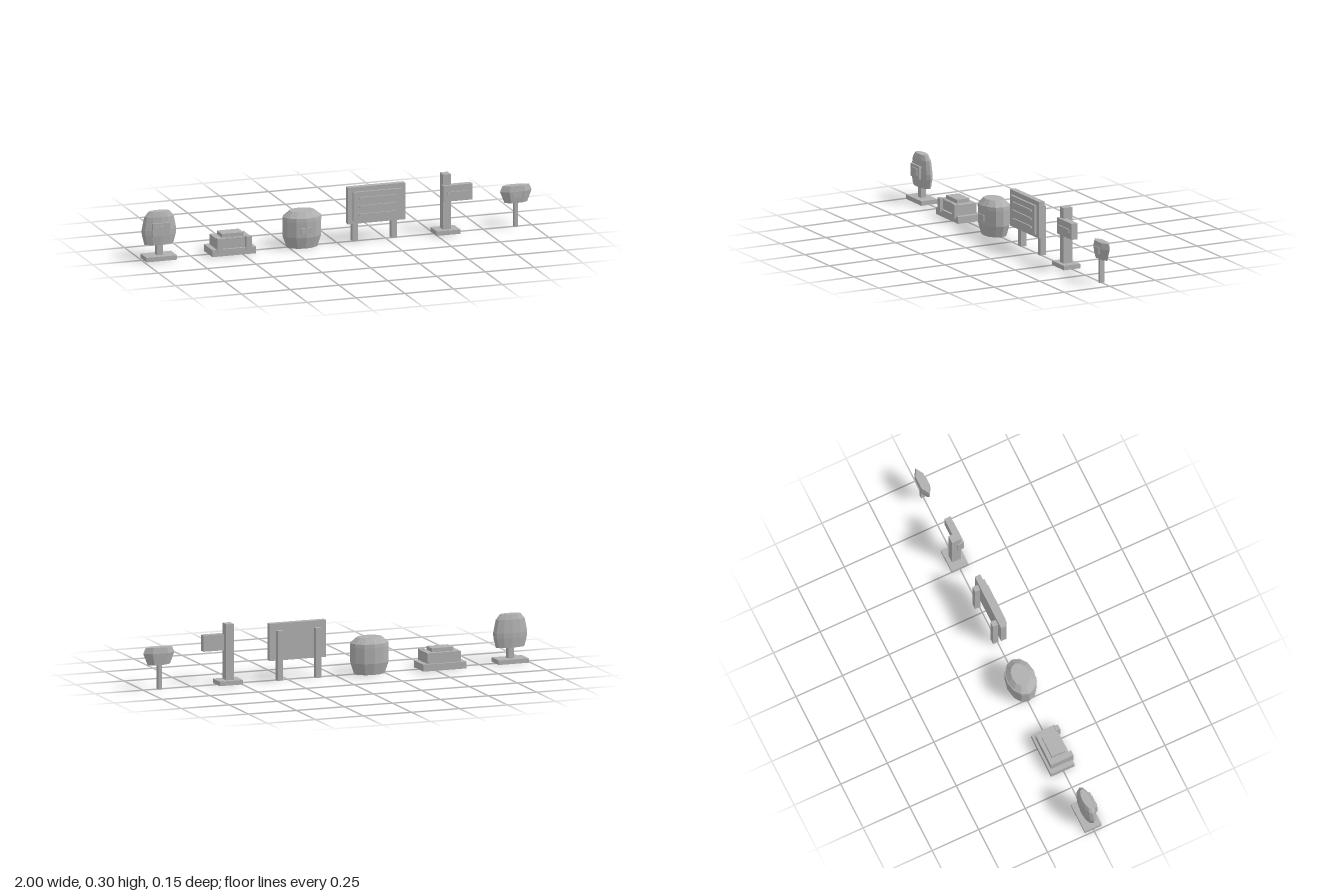
import * as THREE from 'three';

const stone = new THREE.MeshStandardMaterial({ color: 0xb0b0b0, flatShading: true });
stone.name = 'plain grey';

// Box given by its limits on each axis
function box(parent, name, [x0, x1], [y0, y1], [z0, z1]) {
  const mesh = new THREE.Mesh(new THREE.BoxGeometry(x1 - x0, y1 - y0, z1 - z0), stone);
  mesh.position.set((x0 + x1) / 2, (y0 + y1) / 2, (z0 + z1) / 2);
  mesh.name = name;
  parent.add(mesh);
  return mesh;
}

// Faceted elliptical solid; profile rows are [radius factor, height]
function faceted(parent, name, x, rx, rz, sides, profile, turn = Math.PI / 2) {
  const points = [[0, profile[0][1]], ...profile, [0, profile[profile.length - 1][1]]];
  const geo = new THREE.LatheGeometry(points.map(([r, y]) => new THREE.Vector2(r, y)), sides);
  geo.rotateY(turn);
  geo.scale(rx, 1, rz);
  const flat = geo.toNonIndexed();
  flat.computeVertexNormals();
  const mesh = new THREE.Mesh(flat, stone);
  mesh.position.x = x;
  mesh.name = name;
  parent.add(mesh);
  return mesh;
}

function addGroup(parent, name) {
  const g = new THREE.Group();
  g.name = name;
  parent.add(g);
  return g;
}

export function createModel() {
  const model = new THREE.Group();
  model.name = 'markerSet';

  // Rounded marker on a pedestal
  const marker = addGroup(model, 'roundedMarker');
  box(marker, 'markerBase', [-0.99, -0.833], [0, 0.022], [-0.045, 0.045]);
  box(marker, 'markerStem', [-0.926, -0.896], [0.02, 0.085], [-0.014, 0.014]);
  faceted(marker, 'markerBody', -0.911, 0.089, 0.034, 12,
    [[0.83, 0.077], [0.97, 0.125], [0.99, 0.15], [0.84, 0.215], [0.6, 0.24]].map(([r, y]) => [Math.min(r * 1.01, 1), y]));
  box(marker, 'markerPlate', [-0.955, -0.868], [0.123, 0.187], [0.022, 0.039]);
  box(marker, 'markerPlateCentre', [-0.938, -0.885], [0.137, 0.173], [0.035, 0.044]);

  // Stepped plinth with two front posts
  const plinth = addGroup(model, 'steppedPlinth');
  box(plinth, 'plinthSlab', [-0.657, -0.433], [0, 0.034], [-0.067, 0.059]);
  box(plinth, 'plinthBlock', [-0.632, -0.458], [0.03, 0.086], [-0.055, 0.047]);
  box(plinth, 'plinthCap', [-0.6, -0.49], [0.08, 0.105], [-0.035, 0.035]);
  box(plinth, 'plinthPanel', [-0.6, -0.49], [0.04, 0.084], [0.045, 0.051]);
  for (const side of [-1, 1]) {
    const x = -0.545 + side * 0.074;
    box(plinth, 'plinthPost', [x - 0.014, x + 0.014], [0.021, 0.09], [0.045, 0.066]);
  }

  // Lidded barrel with a band and badge
  const barrel = addGroup(model, 'barrel');
  faceted(barrel, 'barrelBody', -0.178, 0.1, 0.072, 12,
    [[0.79, 0], [0.99, 0.057], [0.99, 0.135], [0.95, 0.153], [0.62, 0.18]]);
  faceted(barrel, 'barrelBand', -0.178, 0.1, 0.073, 12, [[1, 0.136], [0.98, 0.153]]);
  box(barrel, 'barrelBadge', [-0.206, -0.15], [0.077, 0.107], [0.06, 0.073]);

  // Notice board on two legs, with three raised strips
  const board = addGroup(model, 'noticeBoard');
  box(board, 'boardBack', [0.046, 0.34], [0.095, 0.278], [0.003, 0.033]);
  box(board, 'boardPanel', [0.07, 0.318], [0.112, 0.255], [0.03, 0.044]);
  for (const y of [0.142, 0.183, 0.224]) {
    box(board, 'boardStrip', [0.098, 0.29], [y - 0.005, y + 0.005], [0.042, 0.051]);
  }
  for (const x of [0.094, 0.294]) {
    box(board, 'boardLeg', [x - 0.014, x + 0.014], [0, 0.245], [-0.024, 0.006]);
  }

  // Direction post
  const post = addGroup(model, 'directionPost');
  box(post, 'postBase', [0.497, 0.618], [0, 0.022], [-0.045, 0.045]);
  box(post, 'postShaft', [0.537, 0.577], [0.02, 0.298], [-0.024, 0.024]);
  box(post, 'postArm', [0.533, 0.683], [0.165, 0.245], [0.005, 0.038]);
  box(post, 'postArmStrip', [0.553, 0.662], [0.196, 0.213], [0.036, 0.044]);

  // Small pointed sign on a stake
  const sign = addGroup(model, 'smallSign');
  box(sign, 'signStake', [0.907, 0.925], [0, 0.13], [-0.012, 0.012]);
  faceted(sign, 'signHead', 0.918, 0.081, 0.028, 6,
    [[0.72, 0.121], [1, 0.178], [0.85, 0.207]]);
  box(sign, 'signBadge', [0.892, 0.94], [0.15, 0.182], [0.018, 0.028]);

  return model;
}
